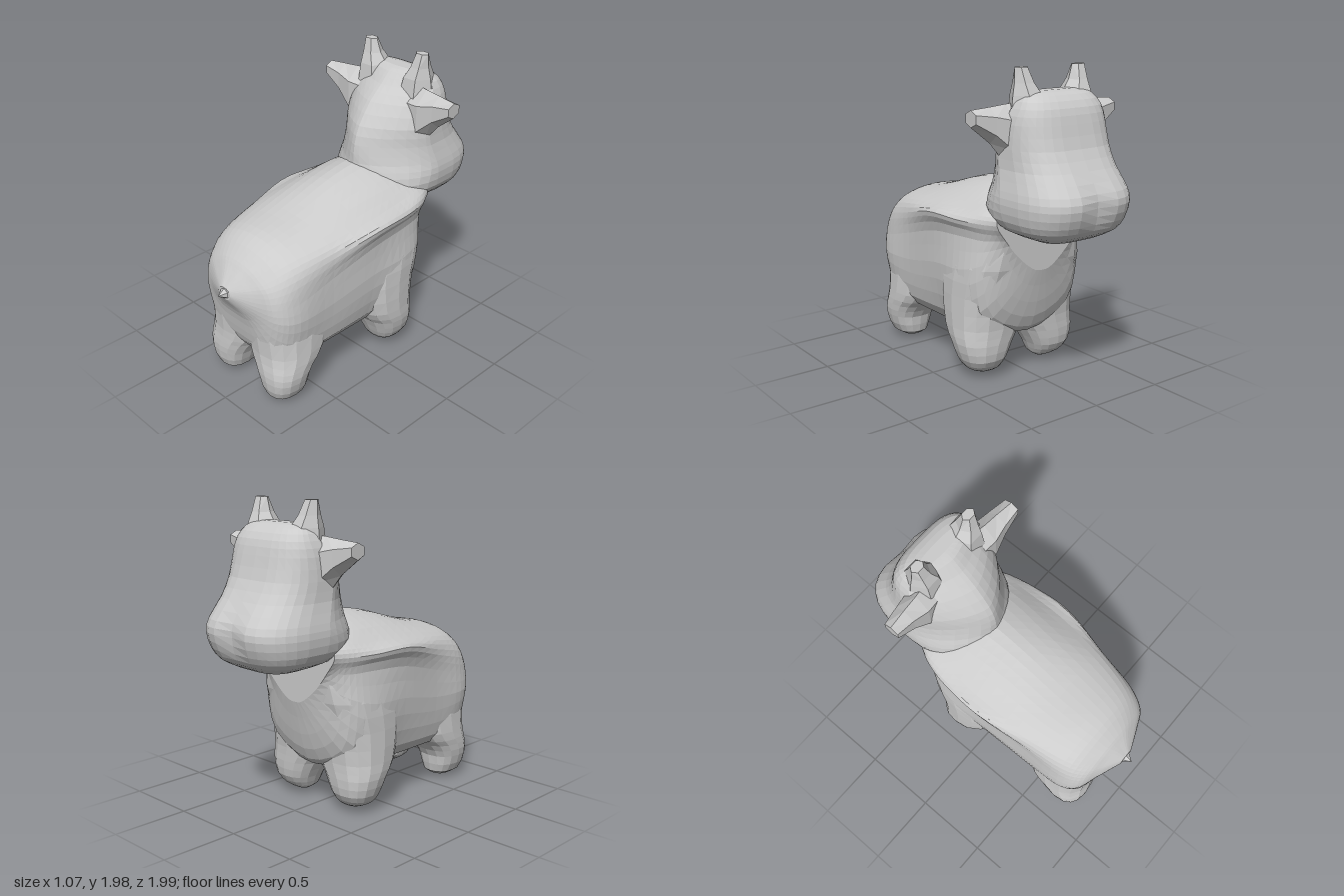
import * as THREE from 'three';

const material = new THREE.MeshStandardMaterial({ color: 0xcccccc, flatShading: true });
const V = (x, y, z) => new THREE.Vector3(x, y, z);

// Smooth curve through points, sampled evenly by index
function smooth(points, perSpan, closed = false) {
  const curve = new THREE.CatmullRomCurve3(points, closed, 'catmullrom', 0.5);
  const n = (closed ? points.length : points.length - 1) * perSpan;
  return Array.from({ length: closed ? n : n + 1 }, (_, i) => curve.getPoint(i / n));
}

// Skin a list of rings (equal point counts), smoothing between them and closing both ends
function loft(name, rings, perSpan = 3) {
  const n = rings[0].length;
  const columns = rings[0].map((_, j) => smooth(rings.map(r => r[j]), perSpan));
  const rows = columns[0].length;
  const pos = [], index = [];
  for (let i = 0; i < rows; i++) for (let j = 0; j < n; j++) pos.push(...columns[j][i].toArray());
  for (const i of [0, rows - 1]) {
    const c = V(0, 0, 0);
    columns.forEach(col => c.addScaledVector(col[i], 1 / n));
    pos.push(...c.toArray());
  }
  for (let j = 0; j < n; j++) {
    const k = (j + 1) % n, last = (rows - 1) * n;
    for (let i = 0; i < rows - 1; i++) {
      const a = i * n + j, b = i * n + k;
      index.push(a, b, b + n, a, b + n, a + n);
    }
    index.push(rows * n, k, j, rows * n + 1, last + j, last + k);
  }
  // Turn faces outward whichever way the rings run
  const p = i => V().fromArray(pos, index[i] * 3);
  let volume = 0;
  for (let i = 0; i < index.length; i += 3) volume += p(i).dot(p(i + 1).cross(p(i + 2)));
  if (volume < 0) index.reverse();
  const geometry = new THREE.BufferGeometry();
  geometry.setAttribute('position', new THREE.Float32BufferAttribute(pos, 3));
  geometry.setIndex(index);
  geometry.computeVertexNormals();
  const mesh = new THREE.Mesh(geometry, material);
  mesh.name = name;
  return mesh;
}

const power = (v, e) => Math.sign(v) * Math.abs(v) ** e;

// Horizontal rounded ring between x and z limits
function flatRing(y, x0, x1, z0, z1, n = 16, e = 0.82) {
  return Array.from({ length: n }, (_, i) => {
    const a = (i / n) * Math.PI * 2;
    return V((x0 + x1) / 2 + (x1 - x0) / 2 * power(Math.cos(a), e), y,
      (z0 + z1) / 2 + (z1 - z0) / 2 * power(Math.sin(a), e));
  });
}

// Half sections: z, belly y, spine y, then x,y of flank, side, under ridge, ridge, slope, back
const bodySections = [
  [0.95, 0.74, 0.82, 0.03, 0.745, 0.05, 0.765, 0.055, 0.78, 0.05, 0.795, 0.04, 0.81, 0.02, 0.82],
  [0.88, 0.60, 0.91, 0.13, 0.61, 0.20, 0.67, 0.22, 0.75, 0.19, 0.83, 0.14, 0.87, 0.07, 0.905],
  [0.82, 0.36, 0.98, 0.24, 0.39, 0.33, 0.60, 0.33, 0.75, 0.29, 0.86, 0.22, 0.92, 0.12, 0.965],
  [0.69, 0.24, 1.075, 0.30, 0.30, 0.39, 0.56, 0.385, 0.76, 0.36, 0.91, 0.29, 1.00, 0.16, 1.055],
  [0.42, 0.27, 1.135, 0.32, 0.31, 0.395, 0.55, 0.40, 0.83, 0.405, 0.97, 0.35, 1.05, 0.19, 1.115],
  [0.08, 0.28, 1.235, 0.32, 0.31, 0.415, 0.60, 0.425, 0.92, 0.465, 1.05, 0.38, 1.09, 0.20, 1.19],
  [-0.2, 0.27, 1.275, 0.33, 0.33, 0.435, 0.62, 0.415, 0.94, 0.45, 1.05, 0.37, 1.11, 0.22, 1.21],
  [-0.38, 0.32, 1.24, 0.30, 0.44, 0.38, 0.70, 0.375, 0.94, 0.41, 1.05, 0.36, 1.12, 0.2, 1.2],
  [-0.49, 0.72, 1.15, 0.08, 0.74, 0.20, 0.84, 0.29, 0.95, 0.355, 1.05, 0.32, 1.12, 0.17, 1.15],
];

function makeBody() {
  const rings = bodySections.map(([z, belly, spine, ...xy]) => {
    const side = [];
    for (let i = 0; i < xy.length; i += 2) side.push(V(xy[i], xy[i + 1], z));
    const other = side.map(p => V(-p.x, p.y, z)).reverse();
    return smooth([V(0, belly, z), ...side, V(0, spine, z), ...other], 3, true);
  });
  return loft('body', rings, 4);
}

// Head levels: y, back z, front z, half width
const headLevels = [
  [0.985, -0.54, -0.84, 0.22], [1.03, -0.34, -0.92, 0.32], [1.10, -0.20, -0.97, 0.37],
  [1.20, -0.15, -1.0, 0.385], [1.28, -0.15, -0.98, 0.375], [1.40, -0.16, -0.89, 0.35],
  [1.52, -0.20, -0.82, 0.345], [1.66, -0.30, -0.78, 0.33], [1.75, -0.40, -0.75, 0.30],
  [1.82, -0.47, -0.69, 0.25], [1.845, -0.53, -0.61, 0.17],
];

function makeHead() {
  const n = 32;
  const rings = headLevels.map(([y, back, front, w]) => {
    const mid = (back + front) / 2 + 0.02;
    // Broad square face, wedge-shaped nape that rounds off toward the jaw
    const nape = THREE.MathUtils.clamp(0.85 + (y - 1.1) * 2.4, 0.85, 1.45);
    return Array.from({ length: n }, (_, i) => {
      const a = (i / n) * Math.PI * 2, c = Math.cos(a), s = Math.sin(a);
      const e = s < 0 ? 0.62 : nape;
      const x = w * power(c, e);
      // Shallow dip between the two muzzle lobes
      const dip = s < 0 ? 0.03 * Math.exp(-((x / 0.09) ** 2)) * Math.exp(-(((y - 1.2) / 0.12) ** 2)) : 0;
      return V(x, y, mid + (s < 0 ? mid - front : back - mid) * power(s, e) + dip);
    });
  });
  return loft('head', rings, 2);
}

// Leg levels: y, inner x, outer x, back z, front z
const legs = {
  hindLeg: [
    [0.0, 0.20, 0.24, 0.72, 0.67], [0.05, 0.13, 0.34, 0.82, 0.57], [0.17, 0.085, 0.385, 0.85, 0.55],
    [0.26, 0.03, 0.395, 0.85, 0.49], [0.36, -0.04, 0.395, 0.845, 0.38], [0.6, -0.04, 0.375, 0.86, 0.32],
    [0.75, 0, 0.33, 0.85, 0.35],
  ],
  frontLeg: [
    [0.03, 0.18, 0.28, -0.17, -0.25], [0.06, 0.14, 0.36, -0.10, -0.30], [0.13, 0.11, 0.41, -0.06, -0.35],
    [0.24, 0.05, 0.44, -0.01, -0.365], [0.34, -0.02, 0.445, 0.07, -0.37], [0.55, -0.04, 0.445, 0.12, -0.40],
    [0.75, -0.04, 0.435, 0.12, -0.465], [0.95, -0.04, 0.38, 0.1, -0.49],
  ],
};

// Ear levels: x, bottom y, top y, back z, front z
const earLevels = [[0.18, 1.36, 1.78, -0.40, -0.62], [0.30, 1.42, 1.77, -0.39, -0.60],
  [0.41, 1.55, 1.76, -0.41, -0.57], [0.535, 1.65, 1.75, -0.42, -0.54]];

export function createModel() {
  const model = new THREE.Group();
  model.name = 'calf';
  model.add(makeBody(), makeHead());

  for (const [side, s] of [['left', 1], ['right', -1]]) {
    for (const [name, levels] of Object.entries(legs)) {
      model.add(loft(`${side} ${name}`, levels.map(([y, a, b, z0, z1]) => flatRing(y, s * a, s * b, z0, z1)), 2));
    }

    // Blunt six-sided ear pointing outward
    const ear = earLevels.map(([x, y0, y1, z0, z1]) =>
      flatRing(0, y0, y1, z0, z1, 6, 1).map(p => V(s * x, p.x, p.z)));
    model.add(loft(`${side} ear`, ear, 1));

    // Short faceted horn
    const horn = [[1.70, 0.06, 0.30, -0.42, -0.68], [1.82, 0.09, 0.285, -0.44, -0.65],
      [1.89, 0.14, 0.27, -0.47, -0.61], [1.98, 0.17, 0.265, -0.50, -0.57]]
      .map(([y, a, b, z0, z1]) => flatRing(y, s * a, s * b, z0, z1, 6, 1));
    model.add(loft(`${side} horn`, horn, 1));
  }

  // Small pointed tail
  const tail = new THREE.Mesh(new THREE.ConeGeometry(0.085, 0.12, 6), material);
  tail.name = 'tail';
  tail.rotation.x = Math.PI / 2;
  tail.position.set(0, 0.78, 0.94);
  model.add(tail);
  return model;
}
